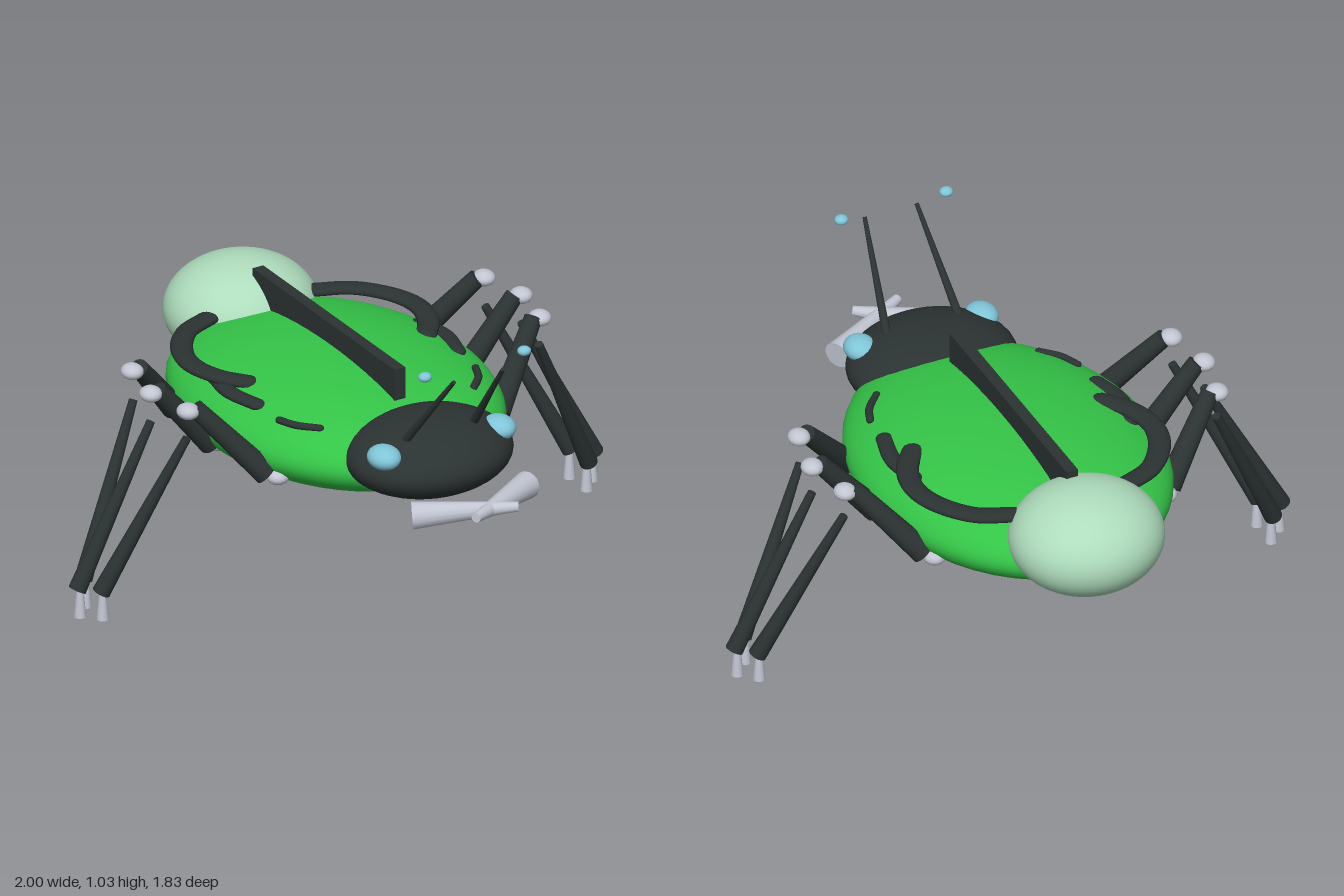
import * as THREE from 'three';

const mat = (name, color) => {
  const m = new THREE.MeshStandardMaterial({ color });
  m.name = name;
  return m;
};

export function createModel() {
  const green = mat('shell green', 0x34c447);
  const dark = mat('charcoal', 0x2b3332);
  const pale = mat('pale green', 0xaedcbc);
  const blue = mat('light blue', 0x7fc6d8);
  const grey = mat('light grey', 0xc2c6d2);

  const model = new THREE.Group();
  model.name = 'beetle';
  const V = (p) => new THREE.Vector3(...p);

  function add(name, geometry, material, pos = [0, 0, 0]) {
    const mesh = new THREE.Mesh(geometry, material);
    mesh.name = name;
    mesh.position.set(...pos);
    model.add(mesh);
    return mesh;
  }

  function ellipsoid(name, pos, radii, material, seg = 20) {
    const mesh = add(name, new THREE.SphereGeometry(1, seg, Math.ceil(seg * 0.6)), material, pos);
    mesh.scale.set(...radii);
    return mesh;
  }

  // Tapered rod from point a (radius ra) to point b (radius rb)
  function rod(name, a, b, ra, rb, material) {
    const from = V(a), to = V(b), dir = to.clone().sub(from);
    const mesh = add(name, new THREE.CylinderGeometry(rb, ra, dir.length(), 16), material);
    mesh.position.copy(from).add(to).multiplyScalar(0.5);
    mesh.quaternion.setFromUnitVectors(new THREE.Vector3(0, 1, 0), dir.normalize());
  }

  // Curved, vertically flattened bar through [x, z] points, with rounded ends
  function flatBar(name, points, y, radius, flat) {
    const pts = points.map(([x, z]) => new THREE.Vector3(x, 0, z));
    const curve = new THREE.CatmullRomCurve3(pts);
    add(name, new THREE.TubeGeometry(curve, 32, radius, 12), dark, [0, y, 0]).scale.y = flat;
    for (const p of [pts[0], pts[pts.length - 1]]) {
      ellipsoid(name + 'End', [p.x, y, p.z], [radius, radius * flat, radius], dark, 12);
    }
  }

  // Body, head, tail bulb and back ridge
  ellipsoid('body', [0, 0.55, -0.09], [0.5, 0.18, 0.655], green, 48);
  ellipsoid('head', [0, 0.585, 0.478], [0.285, 0.125, 0.242], dark, 40);
  ellipsoid('tailBulb', [0, 0.62, -0.675], [0.255, 0.175, 0.243], pale, 40);
  add('backRidge', new THREE.BoxGeometry(0.04, 0.11, 0.875), dark, [0, 0.748, -0.133]);

  for (const s of [-1, 1]) {
    const side = s > 0 ? 'left' : 'right';

    // Face: eyes, antennae and crossing jaws
    ellipsoid(side + 'Eye', [s * 0.215, 0.648, 0.56], [0.054, 0.039, 0.063], blue);
    rod(side + 'Antenna', [s * 0.13, 0.66, 0.53], [s * 0.092, 0.978, 0.787], 0.015, 0.007, dark);
    ellipsoid(side + 'AntennaTip', [s * 0.186, 1.01, 0.763], [0.023, 0.016, 0.022], blue, 16);
    rod(side + 'Jaw', [s * 0.215, 0.512, 0.732], [s * -0.08, 0.54, 0.903], 0.046, 0.016, grey);

    // Curved markings across the shell
    flatBar(side + 'RearArc', [[-0.2, -0.55], [-0.31, -0.5], [-0.395, -0.39], [-0.422, -0.28],
      [-0.395, -0.17], [-0.335, -0.085]].map(([x, z]) => [-x * s, z]), 0.679, 0.037, 0.48);
    flatBar(side + 'MiddleArc', [[0.385, -0.2], [0.402, -0.08], [0.375, 0.04]]
      .map(([x, z]) => [x * s, z]), 0.66, 0.03, 0.55);
    flatBar(side + 'FrontArc', [[0.368, 0.165], [0.342, 0.225], [0.288, 0.285]]
      .map(([x, z]) => [x * s, z]), 0.655, 0.013, 0.9);

    // Legs, front (k = 1), middle (0) and rear (-1)
    for (const k of [1, 0, -1]) {
      const name = side + { 1: 'Front', 0: 'Middle', [-1]: 'Rear' }[k];
      const z = (d) => -0.09 + k * d;
      const out = k === 0 ? 0.035 : 0;
      ellipsoid(name + 'Hip', [s * (0.41 + out), 0.49, z(0.315)], [0.037, 0.026, 0.037], grey, 16);
      rod(name + 'UpperLeg', [s * (0.435 + out), 0.495, z(0.285)],
        [s * (0.635 + out), 0.732, z(0.172)], 0.041, 0.03, dark);
      ellipsoid(name + 'Knee', [s * (0.66 + out), 0.726, z(0.172)], [0.037, 0.026, 0.04], grey, 16);
      rod(name + 'LowerLeg', [s * (0.66 + out), 0.628, z(0.165)],
        [s * (0.915 + out * 1.6), 0.097, z(0.055)], 0.014, 0.03, dark);
      rod(name + 'Foot', [s * (0.908 + out * 1.5), 0, z(0.053)],
        [s * (0.908 + out * 1.5), 0.1, z(0.053)], 0.02, 0.011, grey);
    }
  }
  return model;
}
